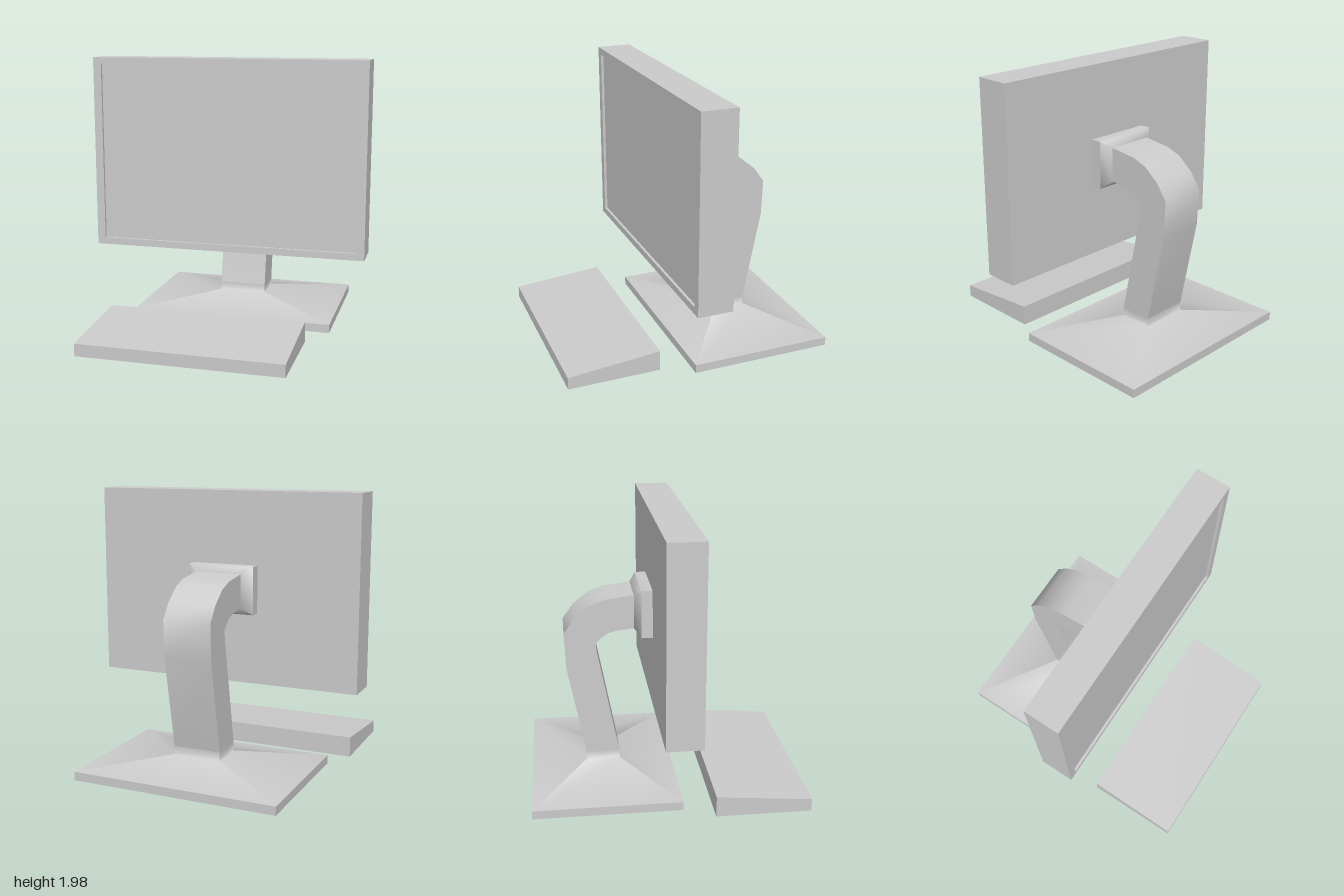
import * as THREE from 'three';
import { toCreasedNormals } from 'three/addons/utils/BufferGeometryUtils.js';

const material = new THREE.MeshStandardMaterial({ color: 0xcccccc });

function part(name, geometry) {
  const mesh = new THREE.Mesh(geometry, material);
  mesh.name = name;
  return mesh;
}

// Box given by its limits on each axis
function block(name, x0, x1, y0, y1, z0, z1) {
  const g = new THREE.BoxGeometry(x1 - x0, y1 - y0, z1 - z0);
  g.translate((x0 + x1) / 2, (y0 + y1) / 2, (z0 + z1) / 2);
  return part(name, g);
}

// Side outline of [z, y] points, counter-clockwise or not, stretched from x0 to x1
function sideProfile(name, points, x0, x1, crease) {
  const shape = new THREE.Shape(points.map(([z, y]) => new THREE.Vector2(-z, y)));
  const g = new THREE.ExtrudeGeometry(shape, { depth: x1 - x0, bevelEnabled: false });
  g.rotateY(Math.PI / 2).translate(x0, 0, 0);
  return part(name, toCreasedNormals(g, crease));
}

// Stack of rectangles [height, halfWidth, z0, z1] joined by sides, closed on top
function loft(rings, crease) {
  const pos = [];
  const corners = rings.map(([y, w, z0, z1]) => [[-w, y, z1], [w, y, z1], [w, y, z0], [-w, y, z0]]);
  const quad = (a, b, c, d) => pos.push(...a, ...b, ...c, ...a, ...c, ...d);
  for (let i = 0; i < corners.length - 1; i++) {
    for (let j = 0; j < 4; j++) {
      const k = (j + 1) % 4;
      quad(corners[i][j], corners[i][k], corners[i + 1][k], corners[i + 1][j]);
    }
  }
  quad(...corners[corners.length - 1]);
  const g = new THREE.BufferGeometry();
  g.setAttribute('position', new THREE.Float32BufferAttribute(pos, 3));
  return toCreasedNormals(g, crease);
}

function rectangle(Type, w, y0, y1) {
  return new Type([[-w, y0], [w, y0], [w, y1], [-w, y1]].map(p => new THREE.Vector2(...p)));
}

export function createModel() {
  const model = new THREE.Group();
  model.name = 'desktopMonitor';

  // Screen housing with a thin raised bezel around the display
  const screen = new THREE.Group();
  screen.name = 'screen';
  screen.add(block('housing', -1, 1, 0.59, 1.98, -0.075, 0.16));
  const bezelShape = rectangle(THREE.Shape, 1, 0.59, 1.98);
  bezelShape.holes.push(rectangle(THREE.Path, 0.94, 0.64, 1.93));
  const bezel = new THREE.ExtrudeGeometry(bezelShape, { depth: 0.02, bevelEnabled: false });
  screen.add(part('bezel', bezel.translate(0, 0, 0.16)));
  model.add(screen);

  // Chamfered mount on the back, lofted upright then turned to face backwards
  const mount = loft([[0.075, 0.25, 1.11, 1.455], [0.155, 0.25, 1.11, 1.455], [0.2, 0.175, 1.16, 1.405]], 1.0);
  model.add(part('mount', mount.rotateX(-Math.PI / 2)));

  // Curved arm from the mount down to the foot
  model.add(sideProfile('arm', [
    [-0.2, 1.405], [-0.4, 1.38], [-0.51, 1.34], [-0.62, 1.25], [-0.7, 1.14], [-0.69, 0.88], [-0.56, 0.21],
    [-0.32, 0.21], [-0.47, 1.0], [-0.475, 1.055], [-0.437, 1.095], [-0.39, 1.13], [-0.32, 1.148], [-0.2, 1.16],
  ], -0.175, 0.175, 0.8));

  // Foot: flat slab with sloping top rising to the neck
  const foot = new THREE.Group();
  foot.name = 'foot';
  foot.add(block('footSlab', -0.75, 0.75, 0.005, 0.067, -0.965, 0.08));
  foot.add(part('footSlope', loft([
    [0.067, 0.75, -0.965, 0.08], [0.15, 0.175, -0.56, -0.32], [0.21, 0.175, -0.56, -0.32],
  ], 1.45)));
  model.add(foot);

  // Wedge-shaped keyboard, set off to one side
  model.add(sideProfile('keyboard', [[0.968, 0], [0.968, 0.09], [0.295, 0.15], [0.295, 0]], -0.855, 0.61, 0.3));

  return model;
}
